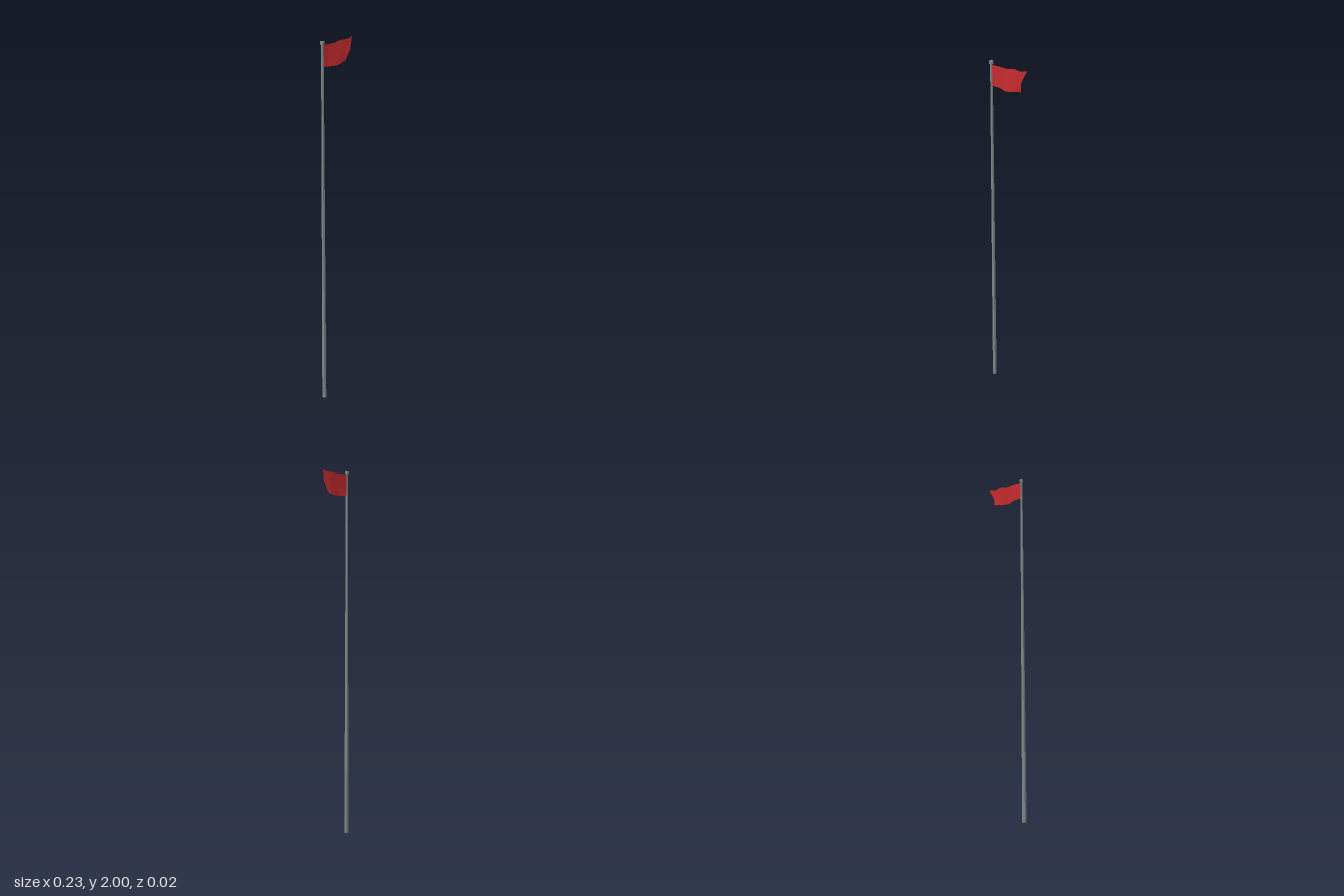
import * as THREE from 'three';

export function createModel() {
  const model = new THREE.Group();
  const steel = new THREE.MeshStandardMaterial({ color: 0x7c8583, flatShading: true });
  steel.name = 'grey steel';
  const cloth = new THREE.MeshStandardMaterial({ color: 0xc42b2d, side: THREE.DoubleSide });
  cloth.name = 'red cloth';
  const poleX = -0.106;

  // Square section of given widths, standing between two heights
  function squarePost(name, bottomWidth, topWidth, y0, y1) {
    const r = Math.SQRT1_2;
    const geometry = new THREE.CylinderGeometry(topWidth * r, bottomWidth * r, y1 - y0, 4);
    geometry.rotateY(Math.PI / 4);
    const mesh = new THREE.Mesh(geometry, steel);
    mesh.name = name;
    mesh.position.set(poleX, (y0 + y1) / 2, 0);
    model.add(mesh);
  }
  squarePost('pole', 0.016, 0.009, 0, 1.984);
  squarePost('poleCap', 0.016, 0.016, 1.982, 1.998);

  // Waving flag: columns from the pole outward, each [x, y, z] at top, middle, bottom
  const columns = [
    [[-0.104, 1.978, 0], [-0.104, 1.924, 0], [-0.104, 1.87, 0]],
    [[-0.057, 1.979, -0.004], [-0.058, 1.923, -0.006], [-0.059, 1.867, -0.008]],
    [[-0.01, 1.982, 0.001], [-0.011, 1.925, 0.006], [-0.012, 1.868, 0.01]],
    [[0.026, 1.986, -0.013], [0.026, 1.928, -0.008], [0.028, 1.872, -0.001]],
    [[0.075, 1.993, 0.006], [0.06, 1.934, -0.003], [0.056, 1.876, -0.013]],
    [[0.112, 2.0, -0.003], [0.085, 1.935, 0.008], [0.07, 1.879, -0.01]],
  ];
  const flagGeometry = new THREE.PlaneGeometry(1, 1, columns.length - 1, 2);
  const position = flagGeometry.attributes.position;
  for (let row = 0; row < 3; row++) {
    columns.forEach((column, i) => position.setXYZ(row * columns.length + i, ...column[row]));
  }
  flagGeometry.computeVertexNormals();
  const flag = new THREE.Mesh(flagGeometry, cloth);
  flag.name = 'flag';
  model.add(flag);

  return model;
}
